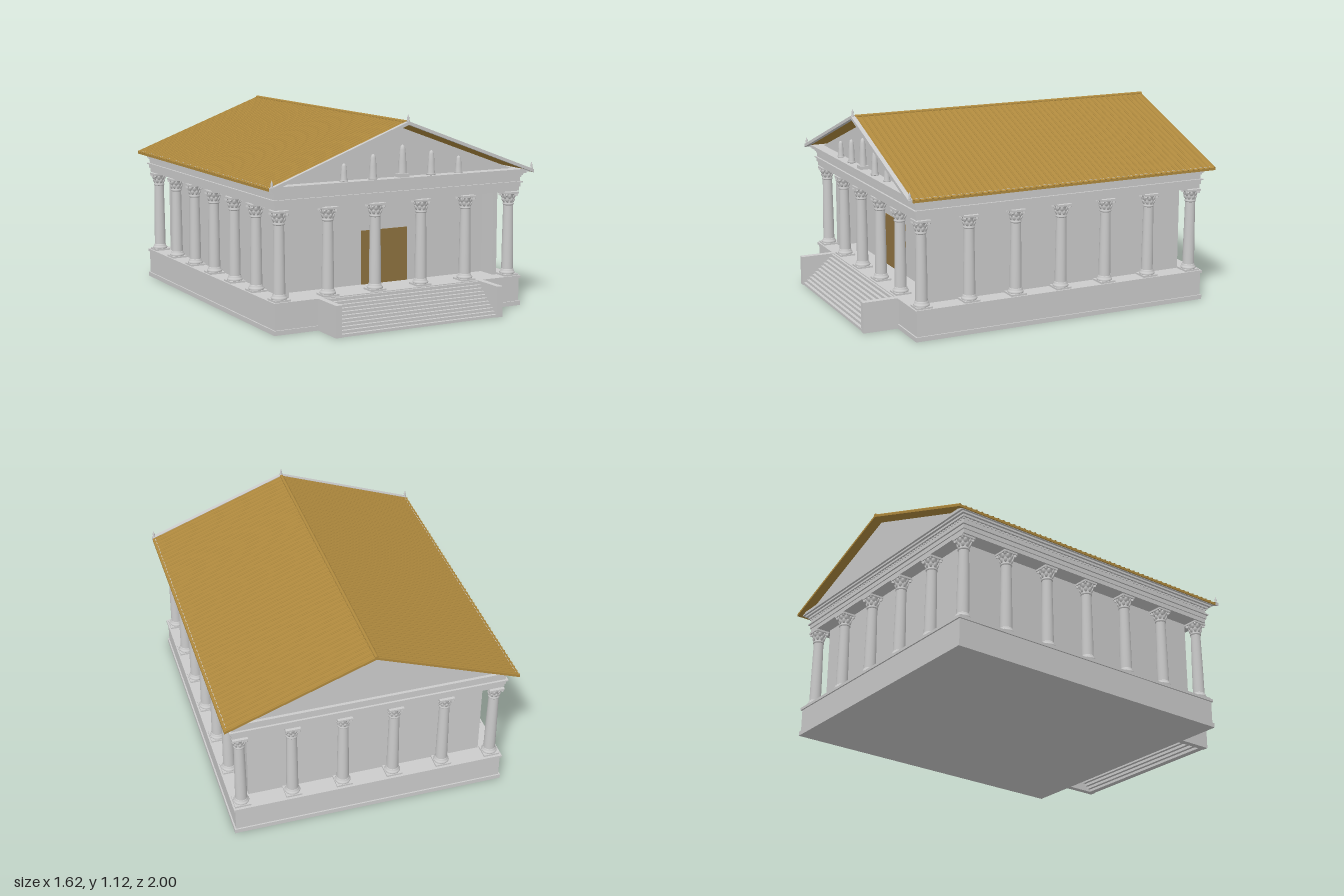
import * as THREE from 'three';
import { mergeGeometries } from 'three/addons/utils/BufferGeometryUtils.js';

const stone = new THREE.MeshStandardMaterial({ color: 0xcccccc });
const tile = new THREE.MeshStandardMaterial({ color: 0xb08a3e, side: THREE.DoubleSide });
const bronze = new THREE.MeshStandardMaterial({ color: 0x8f7340 });

const EAVE_X = 0.81, EAVE_Y = 0.775, RIDGE_Y = 1.078;
const SLOPE = Math.atan2(RIDGE_Y - EAVE_Y, EAVE_X);

function add(parent, name, geometry, material = stone) {
  const mesh = new THREE.Mesh(geometry, material);
  mesh.name = name;
  parent.add(mesh);
  return mesh;
}

// Box given by its limits on each axis
function block(x0, x1, y0, y1, z0, z1) {
  return new THREE.BoxGeometry(x1 - x0, y1 - y0, z1 - z0)
    .translate((x0 + x1) / 2, (y0 + y1) / 2, (z0 + z1) / 2);
}

// Outline in x and y, extruded from z0 to z1
function slab(points, z0, z1) {
  const shape = new THREE.Shape(points.map(([x, y]) => new THREE.Vector2(x, y)));
  return new THREE.ExtrudeGeometry(shape, { depth: z1 - z0, bevelEnabled: false }).translate(0, 0, z0);
}

// Inverted V that follows the roof pitch
function chevron(thickness, drop, z0, z1) {
  const e = EAVE_Y - drop, r = RIDGE_Y - drop;
  return slab([[-EAVE_X, e], [-EAVE_X, e - thickness], [0, r - thickness],
    [EAVE_X, e - thickness], [EAVE_X, e], [0, r]], z0, z1);
}

function lathe(points, sides) {
  return new THREE.LatheGeometry(points.map(([r, y]) => new THREE.Vector2(r, y)), sides);
}

// Column with moulded base, tapering shaft and leafy capital
function columnGeometry() {
  const parts = [
    new THREE.BoxGeometry(0.09, 0.01, 0.09).translate(0, 0.005, 0),
    lathe([[0.042, 0.01], [0.044, 0.016], [0.041, 0.022], [0.036, 0.026], [0.037, 0.032], [0.033, 0.037]], 20),
    lathe([[0.033, 0.036], [0.032, 0.16], [0.028, 0.4]], 20),
    lathe([[0.028, 0.398], [0.032, 0.402], [0.032, 0.407], [0.028, 0.411], [0.029, 0.43], [0.033, 0.448], [0.042, 0.464]], 20),
    new THREE.BoxGeometry(0.084, 0.011, 0.084).translate(0, 0.4685, 0),
  ];
  for (let row = 0; row < 2; row++) {
    for (let i = 0; i < 8; i++) {
      parts.push(new THREE.SphereGeometry(1, 6, 4).scale(0.009, 0.015, 0.005).rotateX(0.35)
        .translate(0, 0.426 + row * 0.022, 0.032 + row * 0.005)
        .rotateY((i + row * 0.5) * Math.PI / 4));
    }
  }
  // Corner volutes
  for (let i = 0; i < 4; i++) {
    parts.push(new THREE.CylinderGeometry(0.008, 0.008, 0.008, 10).rotateZ(Math.PI / 2)
      .translate(0, 0.457, 0.047).rotateY(Math.PI / 4 + i * Math.PI / 2));
  }
  return mergeGeometries(parts);
}

function buildPodium(g) {
  add(g, 'podium', block(-0.762, 0.762, 0, 0.157, -0.952, 0.797));
  add(g, 'podiumFoot', block(-0.77, 0.77, 0, 0.025, -0.96, 0.805));
  add(g, 'podiumCap', block(-0.77, 0.77, 0.155, 0.17, -0.96, 0.805));

  const count = 11, rise = 0.165 / count, run = 0.195 / count;
  const steps = [];
  for (let i = 0; i < count; i++) {
    const top = (i + 1) * rise, front = 0.995 - i * run;
    steps.push(block(-0.48, 0.48, Math.max(0, top - 2 * rise), top, front - run, front));
  }
  add(g, 'steps', mergeGeometries(steps));
  for (const s of [-1, 1]) {
    add(g, 'stairCheek', block(-0.0175, 0.0175, 0, 0.17, 0.79, 1)).position.x = s * 0.4975;
  }
}

function buildChamber(g) {
  for (const s of [-1, 1]) {
    add(g, 'sideWall', block(-0.0125, 0.0125, 0.17, 0.655, -0.858, 0.715)).position.x = s * 0.6525;
  }
  add(g, 'backWall', block(-0.64, 0.64, 0.17, 0.655, -0.858, -0.83));
  add(g, 'frontWall', block(-0.64, 0.64, 0.17, 0.655, 0.57, 0.6));
  add(g, 'door', block(-0.145, 0.145, 0.17, 0.468, 0.595, 0.604), bronze);
}

function buildColumns(g) {
  const geometry = columnGeometry();
  for (let i = 0; i < 6; i++) {
    for (let j = 0; j < 7; j++) {
      if (i > 0 && i < 5 && j > 0 && j < 6) continue;
      add(g, 'column', geometry).position.set(-0.715 + i * 0.286, 0.17, 0.75 - j * 0.275);
    }
  }
}

function buildEntablature(g) {
  // Stacked courses: half width, bottom, top, centred just behind the middle
  const courses = [[0.757, 0.65, 0.674], [0.763, 0.674, 0.697], [0.772, 0.697, 0.704],
    [0.76, 0.704, 0.738], [0.772, 0.738, 0.75], [0.785, 0.75, 0.76], [0.797, 0.76, 0.776]];
  const midZ = -0.07, extra = 0.105;
  add(g, 'entablature', mergeGeometries(courses.map(([w, y0, y1]) =>
    block(-w, w, y0, y1, midZ - w - extra, midZ + w + extra))));

  // Dentils under the cornice
  const dentils = [];
  const tooth = (x, z) => dentils.push(block(x - 0.005, x + 0.005, 0.728, 0.738, z - 0.005, z + 0.005));
  for (let i = 0; i <= 60; i++) {
    for (const s of [-1, 1]) tooth(-0.76 + i * 1.52 / 60, midZ + s * 0.865);
  }
  for (let i = 1; i < 68; i++) {
    for (const s of [-1, 1]) tooth(s * 0.76, midZ - 0.865 + i * 1.73 / 68);
  }
  add(g, 'dentils', mergeGeometries(dentils));
}

function buildPediment(g) {
  const gable = [[-0.725, 0.774], [0.725, 0.774], [0, 1.04]];
  add(g, 'frontGable', slab(gable, 0.74, 0.765));
  add(g, 'backGable', slab(gable, -0.955, -0.93));
  add(g, 'rakingCornice', chevron(0.018, 0, 0.832, 0.857));

  // Robed figures, tallest in the middle
  const body = lathe([[0, 0], [0.13, 0], [0.13, 0.06], [0.105, 0.08], [0.095, 0.5],
    [0.075, 0.85], [0.045, 0.96], [0, 1]], 12);
  for (const [x, h] of [[0, 0.175], [0.18, 0.135], [-0.18, 0.135], [0.355, 0.095], [-0.355, 0.095]]) {
    const figure = add(g, 'pedimentFigure', body);
    figure.position.set(x, 0.775, 0.79);
    figure.scale.set(0.12 + h * 0.55, h, 0.12 + h * 0.4);
  }
  // Small plinth below the middle figure
  add(g, 'figurePlinth', block(-0.03, 0.03, 0.775, 0.795, 0.768, 0.815));

  // Finials on ridge and eaves
  const spike = lathe([[0, 0], [0.009, 0], [0.009, 0.008], [0.005, 0.012], [0.007, 0.022], [0.003, 0.036], [0, 0.045]], 10);
  for (const [x, y] of [[0, RIDGE_Y - 0.006], [0.8, 0.773], [-0.8, 0.773]]) {
    add(g, 'finial', spike).position.set(x, y, 0.845);
  }
}

function buildRoof(g) {
  add(g, 'roof', chevron(0.013, 0.005, -1, 0.833), tile);

  // Tile ribs running from ridge to eave
  const length = Math.hypot(EAVE_X, RIDGE_Y - EAVE_Y), count = 53;
  const ribs = [];
  for (let i = 0; i < count; i++) {
    const z = -0.994 + i * 1.82 / (count - 1);
    for (const s of [-1, 1]) {
      ribs.push(new THREE.CylinderGeometry(0.006, 0.006, length, 6).rotateZ(Math.PI / 2).rotateZ(-s * SLOPE)
        .translate(s * EAVE_X / 2, (EAVE_Y + RIDGE_Y) / 2 - 0.006, z));
    }
  }
  add(g, 'roofRibs', mergeGeometries(ribs), tile);
  add(g, 'ridgeTile', new THREE.CylinderGeometry(0.01, 0.01, 1.833, 10).rotateX(Math.PI / 2)
    .translate(0, RIDGE_Y - 0.006, -0.0835), tile);
}

export function createModel() {
  const temple = new THREE.Group();
  temple.name = 'temple';
  const builders = { podium: buildPodium, chamber: buildChamber, colonnade: buildColumns,
    entablature: buildEntablature, pediment: buildPediment, roof: buildRoof };
  for (const [name, build] of Object.entries(builders)) {
    const group = new THREE.Group();
    group.name = name + 'Group';
    build(group);
    temple.add(group);
  }
  return temple;
}
